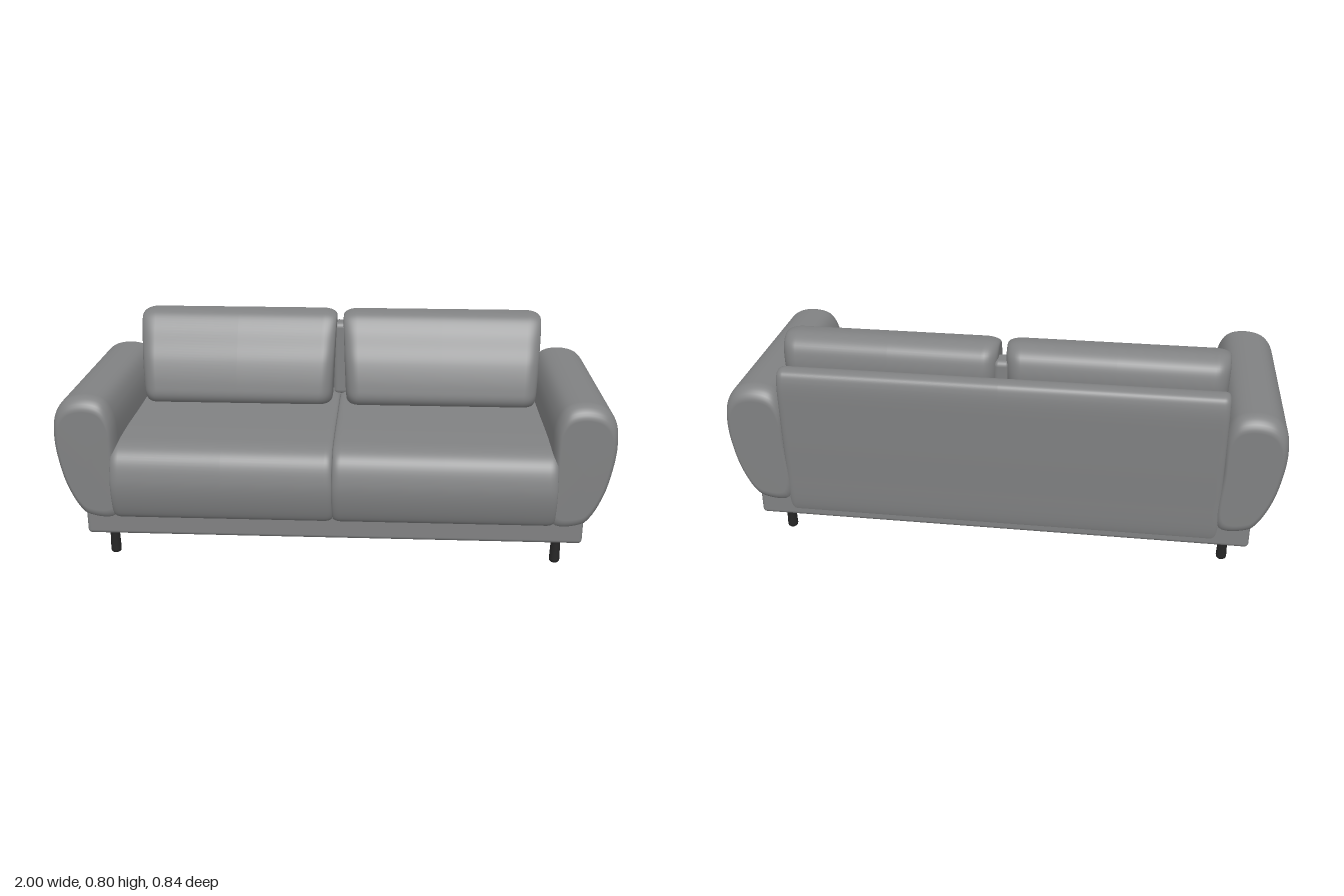
import * as THREE from 'three';
import { RoundedBoxGeometry } from 'three/addons/geometries/RoundedBoxGeometry.js';

// Soft padded body: a closed outline (counter-clockwise) swept along z from w0 to w1,
// shrinking by insetU / insetV over a rounded end of the given depth.
function padded(outline, w0, w1, depth, insetU, insetV) {
  const curve = new THREE.CatmullRomCurve3(
    outline.map(([u, v]) => new THREE.Vector3(u, v, 0)), true, 'centripetal');
  const pts = curve.getPoints(84).slice(0, -1);
  const box = new THREE.Box3().setFromPoints(pts);
  const c = box.getCenter(new THREE.Vector3());
  const half = box.getSize(new THREE.Vector3()).multiplyScalar(0.5);

  // Rings: rounded start, straight middle, rounded end
  const rings = [];
  const steps = 8;
  for (let i = 0; i <= steps; i++) {
    const a = (i / steps) * Math.PI / 2;
    rings.push([w0 + depth * (1 - Math.cos(a)), 1 - Math.sin(a)]);
  }
  const tail = rings.map(([w, k]) => [w0 + w1 - w, k]).reverse();
  rings.push([(w0 + w1) / 2, 0], ...tail);

  const pos = [];
  const index = [];
  const n = pts.length;
  for (const [w, k] of rings) {
    const su = 1 - k * insetU / half.x;
    const sv = 1 - k * insetV / half.y;
    for (const p of pts) pos.push(c.x + (p.x - c.x) * su, c.y + (p.y - c.y) * sv, w);
  }
  for (let r = 0; r < rings.length - 1; r++) {
    for (let i = 0; i < n; i++) {
      const a = r * n + i, b = r * n + (i + 1) % n;
      index.push(a, b, b + n, a, b + n, a + n);
    }
  }
  // End caps
  const last = (rings.length - 1) * n;
  const c0 = pos.length / 3;
  pos.push(c.x, c.y, w0, c.x, c.y, w1);
  for (let i = 0; i < n; i++) {
    const j = (i + 1) % n;
    index.push(c0, j, i, c0 + 1, last + i, last + j);
  }
  const geo = new THREE.BufferGeometry();
  geo.setAttribute('position', new THREE.Float32BufferAttribute(pos, 3));
  geo.setIndex(index);
  geo.computeVertexNormals();
  return geo;
}

// Same body swept along x; outline is given as [-z, y]
const paddedAcross = (...args) => padded(...args).rotateY(Math.PI / 2);

const ARM = [
  [0.78, 0.16], [0.885, 0.16], [0.92, 0.19], [0.965, 0.28], [0.99, 0.38], [1.0, 0.48],
  [0.988, 0.56], [0.95, 0.608], [0.88, 0.625], [0.815, 0.608], [0.782, 0.55], [0.775, 0.4],
];
const SEAT = [
  [-0.36, 0.168], [0, 0.165], [0.3, 0.165], [0.33, 0.2], [0.33, 0.43], [0.3, 0.45], [0, 0.455],
  [-0.25, 0.452], [-0.35, 0.44], [-0.395, 0.405], [-0.418, 0.33], [-0.418, 0.27],
  [-0.4, 0.2], [-0.385, 0.177],
];
const BACK = [
  [0.25, 0.11], [0.385, 0.11], [0.4, 0.13], [0.413, 0.3], [0.42, 0.5], [0.419, 0.66],
  [0.405, 0.694], [0.36, 0.7], [0.335, 0.675], [0.29, 0.6], [0.25, 0.45],
];
const CUSHION = [
  [0.1, 0.45], [0.3, 0.45], [0.335, 0.5], [0.352, 0.65], [0.352, 0.72], [0.335, 0.77],
  [0.29, 0.797], [0.25, 0.8], [0.205, 0.789], [0.165, 0.745], [0.13, 0.68], [0.1, 0.62],
  [0.075, 0.53], [0.072, 0.48],
];

export function createModel() {
  const sofa = new THREE.Group();
  sofa.name = 'sofa';

  const fabric = new THREE.MeshStandardMaterial({ color: 0x808182 });
  fabric.name = 'grey fabric';
  const dark = new THREE.MeshStandardMaterial({ color: 0x262626 });
  dark.name = 'dark leg';

  const add = (name, geo, mat = fabric) => {
    const mesh = new THREE.Mesh(geo, mat);
    mesh.name = name;
    sofa.add(mesh);
    return mesh;
  };

  // Base plinth and backrest frame
  add('base', new RoundedBoxGeometry(1.8, 0.115, 0.775, 4, 0.015)).position.set(0, 0.1575, -0.0125);
  add('backFrame', paddedAcross(BACK, -0.787, 0.787, 0.025, 0.015, 0.015));

  for (const side of [1, -1]) {
    const label = side > 0 ? 'left' : 'right';
    const span = (a, b) => (side > 0 ? [a, b] : [-b, -a]);

    // Bulging armrest
    const arm = side > 0 ? ARM : ARM.map(([x, y]) => [-x, y]).reverse();
    add(label + 'Armrest', padded(arm, -0.412, 0.386, 0.06, 0.025, 0.05));

    // Seat cushion
    add(label + 'SeatCushion', paddedAcross(SEAT, ...span(0, 0.795), 0.03, 0.012, 0.012));

    // Back cushion, slightly narrower toward the bottom
    const cushion = paddedAcross(CUSHION, ...span(0.012, 0.787), 0.055, 0.055, 0.022);
    const p = cushion.attributes.position;
    for (let i = 0; i < p.count; i++) {
      const k = 1 - 0.045 * (0.8 - p.getY(i)) / 0.35;
      p.setX(i, side * 0.4 + (p.getX(i) - side * 0.4) * k);
    }
    cushion.computeVertexNormals();
    add(label + 'BackCushion', cushion);
  }

  // Filler in the gap between the back cushions
  add('cushionGap', new RoundedBoxGeometry(0.06, 0.3, 0.08, 3, 0.02)).position.set(0, 0.595, -0.285);

  // Short round legs
  const legProfile = [[0, 0], [0.013, 0.001], [0.018, 0.006], [0.019, 0.014], [0.017, 0.085],
    [0.021, 0.095], [0.022, 0.105]].map(([r, y]) => new THREE.Vector2(r, y));
  const legGeo = new THREE.LatheGeometry(legProfile, 24);
  for (const x of [-0.815, 0.815]) {
    for (const z of [0.316, -0.325]) {
      add((z > 0 ? 'front' : 'back') + (x > 0 ? 'Left' : 'Right') + 'Leg', legGeo, dark)
        .position.set(x, 0, z);
    }
  }
  return sofa;
}
